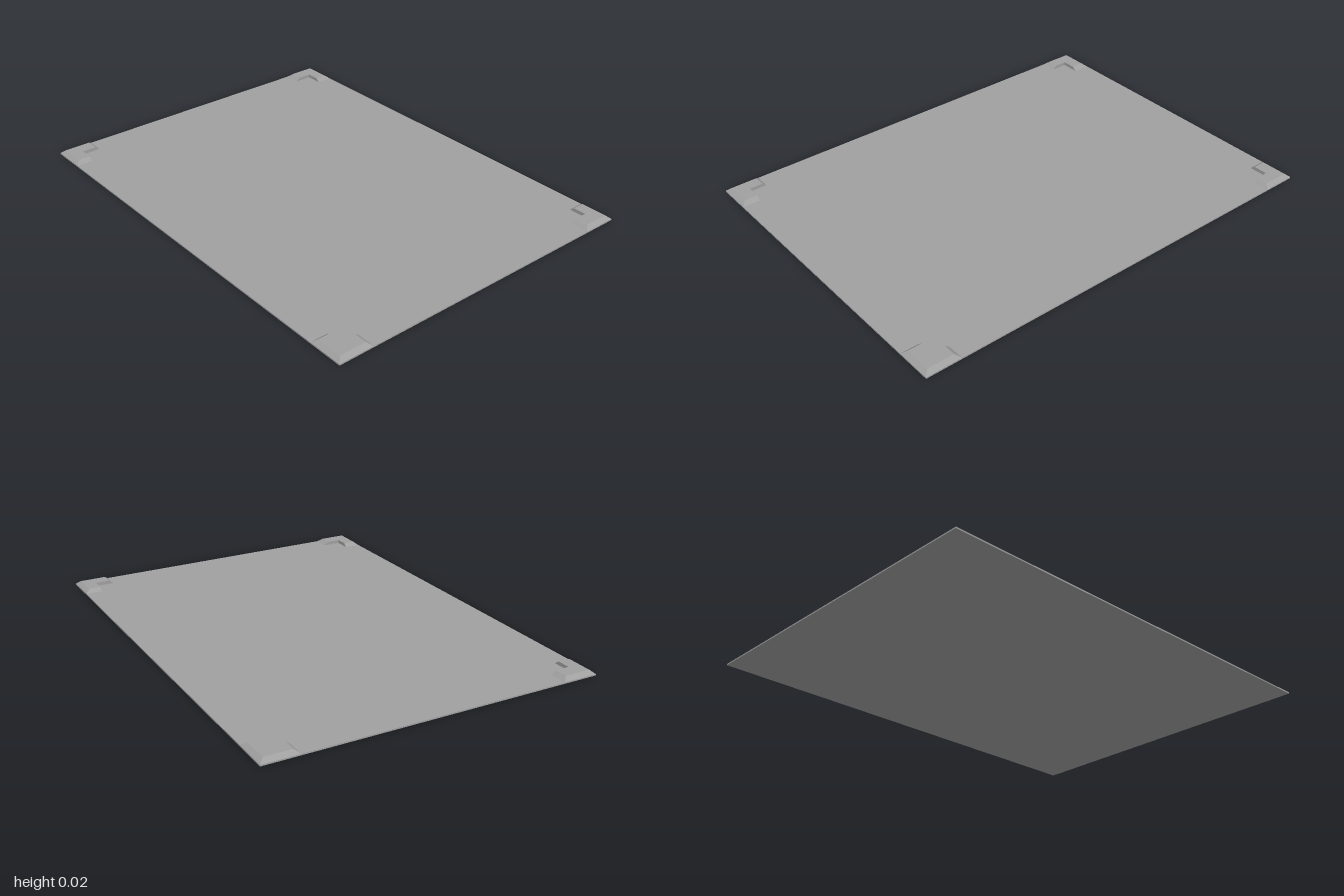
import * as THREE from 'three';

const WIDTH = 2, DEPTH = 1.5, PLATE = 0.006, TOP = 0.022;

// L-shaped corner piece: sloped outer sides and ends, upright inner sides.
// wx is the width of the arm along z, wz the width of the arm along x.
function bracketGeometry(wx, wz) {
  const arm = 0.16, b = 0.02;
  const base = [[0, 0], [arm, 0], [arm, wz], [wx, wz], [wx, arm], [0, arm]];
  const top = [[b, b], [arm - b, b], [arm - b, wz], [wx, wz], [wx, arm - b], [b, arm - b]];
  const n = base.length;
  const positions = [
    ...base.flatMap(([x, z]) => [x, PLATE, z]),
    ...top.flatMap(([x, z]) => [x, TOP, z]),
  ];
  const index = [];
  for (let i = 0; i < n; i++) {
    const j = (i + 1) % n;
    index.push(i, n + i, n + j, i, n + j, j);
    if (i > 0 && i < n - 1) index.push(n, n + i + 1, n + i);
  }
  const indexed = new THREE.BufferGeometry();
  indexed.setAttribute('position', new THREE.Float32BufferAttribute(positions, 3));
  indexed.setIndex(index);
  const geometry = indexed.toNonIndexed();
  geometry.computeVertexNormals();
  return geometry;
}

export function createModel() {
  const group = new THREE.Group();
  group.name = 'corneredPanel';
  const material = new THREE.MeshStandardMaterial({ color: 0xa0a0a0 });

  // Thin flat panel
  const panel = new THREE.Mesh(new THREE.BoxGeometry(WIDTH, PLATE, DEPTH), material);
  panel.name = 'panel';
  panel.position.y = PLATE / 2;
  group.add(panel);

  // One bracket per corner, each turned a further quarter; the arms swap every turn
  const geometries = [bracketGeometry(0.08, 0.075), bracketGeometry(0.075, 0.08)];
  const corners = [
    ['backRightBracket', -1, -1],
    ['frontRightBracket', -1, 1],
    ['frontLeftBracket', 1, 1],
    ['backLeftBracket', 1, -1],
  ];
  corners.forEach(([name, sx, sz], i) => {
    const bracket = new THREE.Mesh(geometries[i % 2], material);
    bracket.name = name;
    bracket.position.set(sx * WIDTH / 2, 0, sz * DEPTH / 2);
    bracket.rotation.y = i * Math.PI / 2;
    group.add(bracket);
  });
  return group;
}
